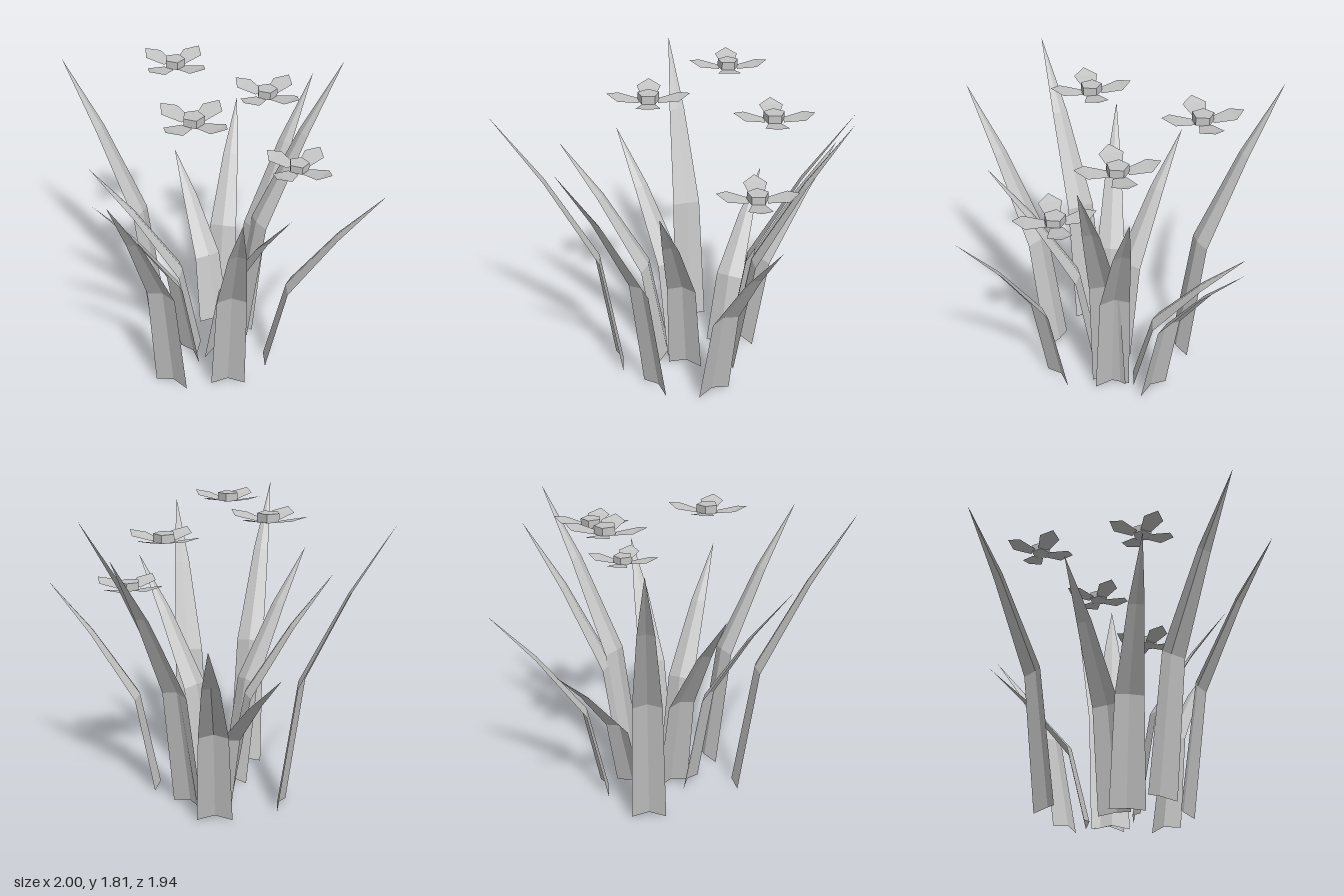
import * as THREE from 'three';

const grey = new THREE.MeshStandardMaterial({ color: 0xc4c4c4, side: THREE.DoubleSide, flatShading: true });
grey.name = 'pale grey';

// Cross-sections from base to tip: outward fraction, height fraction, half width
const SECTIONS = [[0, 0, 0.104], [0.18, 0.455, 0.086], [0.61, 0.768, 0.048], [1, 1, 0]];

// base x, base z, tip x, tip z, tip height
const BLADES = [
  [0.09, -0.385, -0.04, -0.975, 1.76],
  [0.287, -0.057, 0.55, -0.605, 1.0],
  [0.435, -0.125, 0.995, -0.43, 1.26],
  [0.018, 0.01, -0.37, -0.475, 1.35],
  [-0.09, 0.04, -0.69, -0.135, 1.41],
  [-0.37, 0.118, -1.0, 0.28, 1.75],
  [-0.145, 0.388, -0.615, 0.785, 1.66],
  [0.043, 0.162, -0.107, 0.74, 1.38],
  [0.212, 0.435, 0.495, 0.965, 1.31],
  [0.32, 0.13, 0.91, 0.39, 1.8],
  [0.35, 0.115, 0.965, 0.155, 1.63],
];

// centre x, y, z
const FLOWERS = [
  [-0.16, 1.79, 0.122],
  [0.302, 1.79, -0.387],
  [0.525, 1.67, 0.118],
  [0.42, 1.342, 0.435],
];

function surface(points, index) {
  const g = new THREE.BufferGeometry();
  g.setAttribute('position', new THREE.Float32BufferAttribute(points, 3));
  g.setIndex(index);
  const flat = g.toNonIndexed();
  flat.computeVertexNormals();
  return flat;
}

// A bent, tapering leaf with a shallow ridge on its inner face
function bladeGeometry([bx, bz, tx, tz, height]) {
  const dx = tx - bx, dz = tz - bz, len = Math.hypot(dx, dz);
  const ux = dx / len, uz = dz / len;
  const points = [], index = [];
  SECTIONS.forEach(([out, up, half], row) => {
    for (const side of [-1, 0, 1]) {
      const ridge = side === 0 ? half : 0;
      points.push(
        bx + dx * out - uz * half * side - ux * ridge * 0.25,
        height * up + ridge * 0.16,
        bz + dz * out + ux * half * side - uz * ridge * 0.25);
    }
    if (row === SECTIONS.length - 1) return;
    for (let k = 0; k < 2; k++) {
      const a = row * 3 + k, b = a + 1, c = a + 3, d = a + 4;
      index.push(a, b, c);
      if (row < SECTIONS.length - 2) index.push(b, d, c);
      else index[index.length - 1] = c + 1 - k;
    }
  });
  return surface(points, index);
}

// Five-cornered petal rising gently towards its point
const petalGeometry = surface([
  -0.035, -0.02, 0.052, 0.035, -0.02, 0.052,
  0.066, 0.002, 0.165, 0, 0.022, 0.225, -0.066, 0.002, 0.165,
], [0, 4, 1, 1, 4, 2, 2, 4, 3]);
petalGeometry.scale(1, 1, 1);

function makeFlower([x, y, z]) {
  const flower = new THREE.Group();
  flower.name = 'flower';
  const centre = new THREE.Mesh(new THREE.CylinderGeometry(0.061, 0.061, 0.046, 5), grey);
  centre.name = 'flowerCentre';
  centre.rotation.y = Math.PI;
  flower.add(centre);
  for (let i = 0; i < 4; i++) {
    const petal = new THREE.Mesh(petalGeometry, grey);
    petal.name = 'petal';
    petal.rotation.y = i * Math.PI / 2;
    flower.add(petal);
  }
  // make the petals face upwards
  flower.position.set(x, y, z);
  return flower;
}

export function createModel() {
  const model = new THREE.Group();
  model.name = 'floweringPlant';
  for (const b of BLADES) {
    const blade = new THREE.Mesh(bladeGeometry(b), grey);
    blade.name = 'leafBlade';
    model.add(blade);
  }
  for (const f of FLOWERS) model.add(makeFlower(f));
  return model;
}
